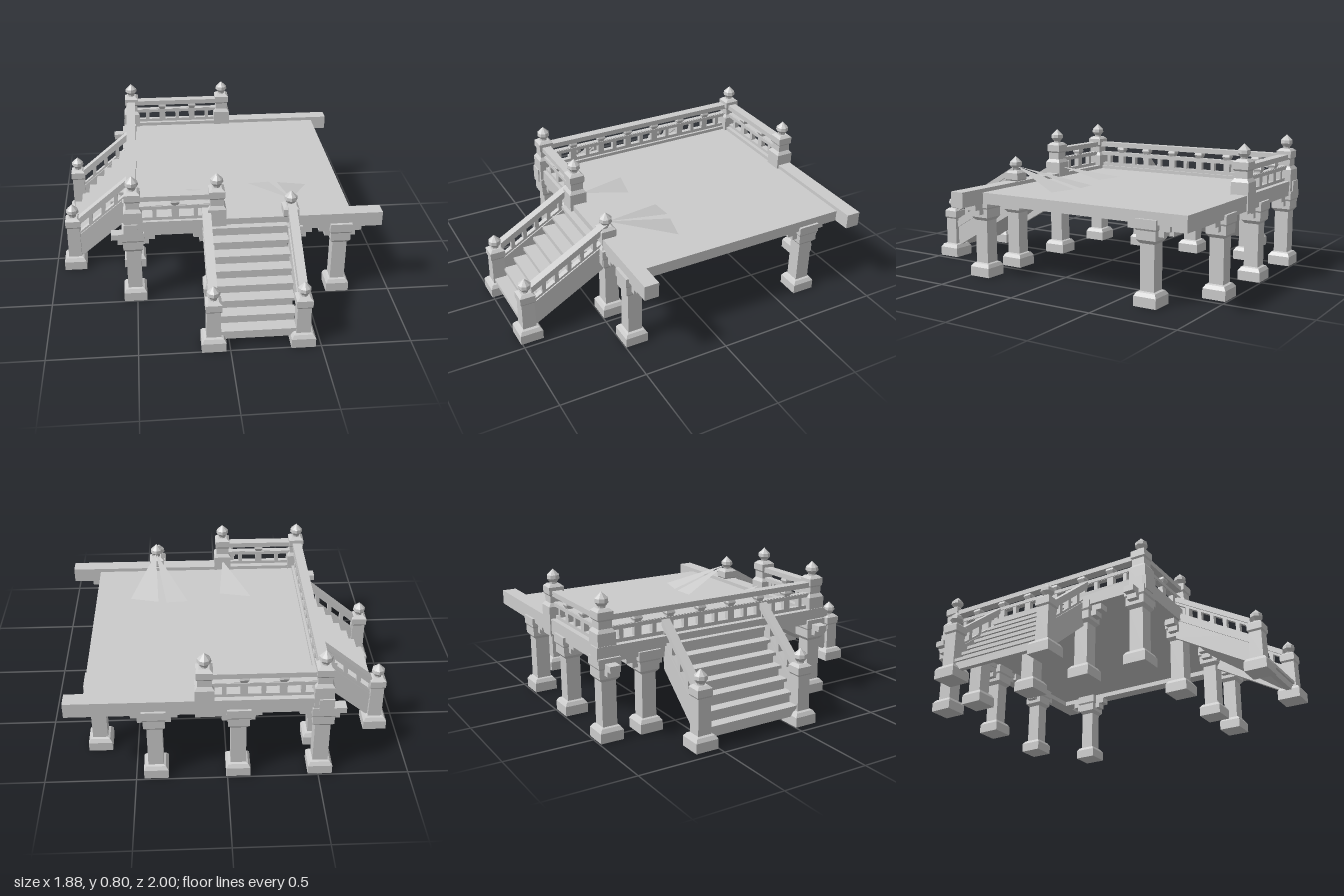
import * as THREE from 'three';

const mat = new THREE.MeshStandardMaterial({ color: 0xcccccc, flatShading: true });
const thin = new THREE.MeshStandardMaterial({ color: 0xcccccc, flatShading: true, side: THREE.DoubleSide });

function add(parent, name, geo, x = 0, y = 0, z = 0, material = mat) {
  const m = new THREE.Mesh(geo, material);
  m.name = name;
  m.position.set(x, y, z);
  parent.add(m);
  return m;
}

// Box given by its limits on each axis
function block(parent, name, x0, x1, y0, y1, z0, z1) {
  return add(parent, name, new THREE.BoxGeometry(x1 - x0, y1 - y0, z1 - z0),
    (x0 + x1) / 2, (y0 + y1) / 2, (z0 + z1) / 2);
}

// Square turned part from [half width, y] pairs, bottom to top
function square(profile) {
  const pts = profile.map(([r, y]) => new THREE.Vector2(r * Math.SQRT2, y));
  return new THREE.LatheGeometry(pts, 4, Math.PI / 4);
}

// Flat panel in x-y, centred on z, with polygon holes
function panel(outline, holes, depth) {
  const v = p => p.map(([x, y]) => new THREE.Vector2(x, y));
  const shape = new THREE.Shape(v(outline));
  for (const h of holes) shape.holes.push(new THREE.Path(v(h)));
  const g = new THREE.ExtrudeGeometry(shape, { depth, bevelEnabled: false });
  return g.translate(0, 0, -depth / 2);
}

const FOOT = [[0, 0], [0.067, 0], [0.067, 0.055], [0.054, 0.075]];

// Ground pillar with capital and stepped brackets along its beam
function pillar(parent, x, z, axis) {
  const g = new THREE.Group();
  g.name = 'pillar';
  g.position.set(x, 0, z);
  add(g, 'shaft', square([...FOOT, [0.042, 0.08], [0.042, 0.33], [0.058, 0.35],
    [0.058, 0.40], [0.064, 0.41], [0.064, 0.46], [0, 0.46]]));
  for (const [half, y0, y1] of [[0.09, 0.37, 0.40], [0.125, 0.40, 0.435]]) {
    block(g, 'bracket', -half, half, y0, y1, -0.03, 0.03);
  }
  if (axis === 'z') g.rotation.y = Math.PI / 2;
  parent.add(g);
}

// Newel post: square post, cap and faceted pointed finial
function newel(parent, x, z, bottom, top, foot = false) {
  const g = new THREE.Group();
  g.name = 'newelPost';
  g.position.set(x, 0, z);
  const start = foot ? [...FOOT, [0.04, 0.08]] : [[0, bottom], [0.052, bottom], [0.052, top - 0.21], [0.038, top - 0.19]];
  add(g, 'post', square([...start, [0.038, top - 0.15], [0.045, top - 0.14],
    [0.045, top - 0.10], [0.028, top - 0.085], [0, top - 0.085]]));
  const bulb = [[0.02, -0.09], [0.022, -0.075], [0.038, -0.055], [0.036, -0.035], [0.012, -0.012], [0, 0]];
  add(g, 'finial', new THREE.LatheGeometry(bulb.map(([r, y]) => new THREE.Vector2(r, top + y)), 8));
  parent.add(g);
}

// Straight balustrade running along local +x
function balustrade(parent, x, z, length, angle) {
  const g = new THREE.Group();
  g.name = 'balustrade';
  const bays = Math.round(length / 0.2), w = length / bays, holes = [];
  const rect = (a, b, y0, y1) => holes.push([[a, y0], [b, y0], [b, y1], [a, y1]]);
  for (let i = 0; i < bays; i++) {
    const a = i * w;
    rect(a + 0.02, a + w - 0.02, 0.615, 0.655);
    rect(a + 0.02, a + w / 2 - 0.012, 0.54, 0.59);
    rect(a + w / 2 + 0.012, a + w - 0.02, 0.54, 0.59);
    add(g, 'baluster', square([[0.014, 0.61], [0.026, 0.635], [0.018, 0.66]]), a, 0, 0);
  }
  add(g, 'fretPanel', panel([[0, 0.5], [length, 0.5], [length, 0.66], [0, 0.66]], holes, 0.03));
  block(g, 'handrail', 0, length, 0.65, 0.68, -0.028, 0.028);
  block(g, 'midRail', 0, length, 0.592, 0.613, -0.02, 0.02);
  g.position.set(x, 0, z);
  g.rotation.y = angle;
  parent.add(g);
}

// Staircase descending along local +x, with pierced sloping sides
function stairs(parent, name, x, z, angle, run, half, steps, newelTop) {
  const g = new THREE.Group();
  g.name = name;
  const rise = 0.43 / steps, tread = run / steps;
  const outline = [[0, 0.40], [run - 0.03, 0.05], [run, 0.05]];
  for (let i = 0; i < steps; i++) {
    const y = 0.07 + i * rise, u = run - i * tread;
    outline.push([u, y + rise * 0.6], [u - tread, y + rise * 0.6]);
  }
  add(g, 'steps', panel(outline, [], half * 2 - 0.08));
  for (let i = 0; i < steps; i++) {
    const y = 0.07 + (i + 0.6) * rise, u = run - i * tread;
    block(g, 'tread', u - tread, u + 0.012, y - 0.012, y + 0.006, -half + 0.03, half - 0.03);
  }
  const end = run - 0.05, slope = 0.27 / end;
  const band = (a, b, top, bottom) => [[a, bottom - a * slope], [b, bottom - b * slope],
    [b, top - b * slope], [a, top - a * slope]];
  const count = Math.round(end / 0.085), holes = [];
  for (let i = 0; i < count; i++) {
    holes.push(band((i + 0.15) * end / count, (i + 0.85) * end / count, 0.555, 0.505));
  }
  for (const s of [-1, 1]) {
    add(g, 'sidePanel', panel(band(0, end, 0.58, 0.33), holes, 0.03), 0, 0, s * half);
    add(g, 'slopingHandrail', panel(band(0, end, 0.605, 0.57), [], 0.05), 0, 0, s * half);
    add(g, 'stringer', panel(band(0, end, 0.49, 0.45), [], 0.045), 0, 0, s * half);
    newel(g, run - 0.02, s * half, 0, newelTop, true);
  }
  g.position.set(x, 0, z);
  g.rotation.y = angle;
  parent.add(g);
}

export function createModel() {
  const model = new THREE.Group();
  model.name = 'raisedTerrace';

  // Deck and edge beams, the front and back ones overhanging
  block(model, 'deck', -0.52, 0.76, 0.465, 0.50, -0.92, 0.44);
  block(model, 'frontBeam', -0.56, 0.93, 0.435, 0.522, 0.39, 0.475);
  block(model, 'backBeam', -0.56, 0.86, 0.435, 0.522, -0.975, -0.89);
  block(model, 'rightBeam', -0.56, -0.48, 0.435, 0.52, -0.99, 0.50);
  block(model, 'leftBeam', 0.68, 0.76, 0.435, 0.495, -0.89, 0.39);

  // Pillars under the beams
  for (const x of [-0.51, -0.04, 0.40, 0.69]) pillar(model, x, 0.43, 'x');
  for (const x of [-0.51, -0.06, 0.39]) pillar(model, x, -0.925, 'x');
  for (const z of [0.07, -0.30, -0.69]) pillar(model, -0.51, z, 'z');
  pillar(model, 0.71, -0.69, 'z');

  // Balustrades on three sides with their newels
  balustrade(model, -0.50, 0.44, 0.47, 0);
  balustrade(model, -0.50, -0.93, 0.62, 0);
  balustrade(model, -0.51, 0.44, 1.37, Math.PI / 2);
  for (const [x, z] of [[-0.505, 0.44], [-0.03, 0.44], [-0.505, -0.93], [0.12, -0.93]]) {
    newel(model, x, z, 0.42, 0.80);
  }
  newel(model, 0.395, 0.44, 0.36, 0.67);

  // Front and side stairs
  stairs(model, 'frontStairs', 0.155, 0.44, -Math.PI / 2, 0.52, 0.245, 8, 0.39);
  stairs(model, 'sideStairs', -0.53, -0.25, Math.PI, 0.37, 0.32, 7, 0.43);

  // Leaning shards on the deck by the front stairs
  const shards = [
    [0.20, 0.50, 0.02], [0.33, 0.50, 0.01], [0.40, 0.61, 0.43],
    [0.38, 0.50, 0.02], [0.55, 0.50, 0.06], [0.40, 0.61, 0.43],
    [-0.19, 0.50, 0.06], [0.0, 0.50, 0.10], [-0.03, 0.56, 0.40],
  ];
  const g = new THREE.BufferGeometry();
  g.setAttribute('position', new THREE.Float32BufferAttribute(shards.flat(), 3));
  g.computeVertexNormals();
  add(model, 'deckShards', g, 0, 0, 0, thin);

  return model;
}
